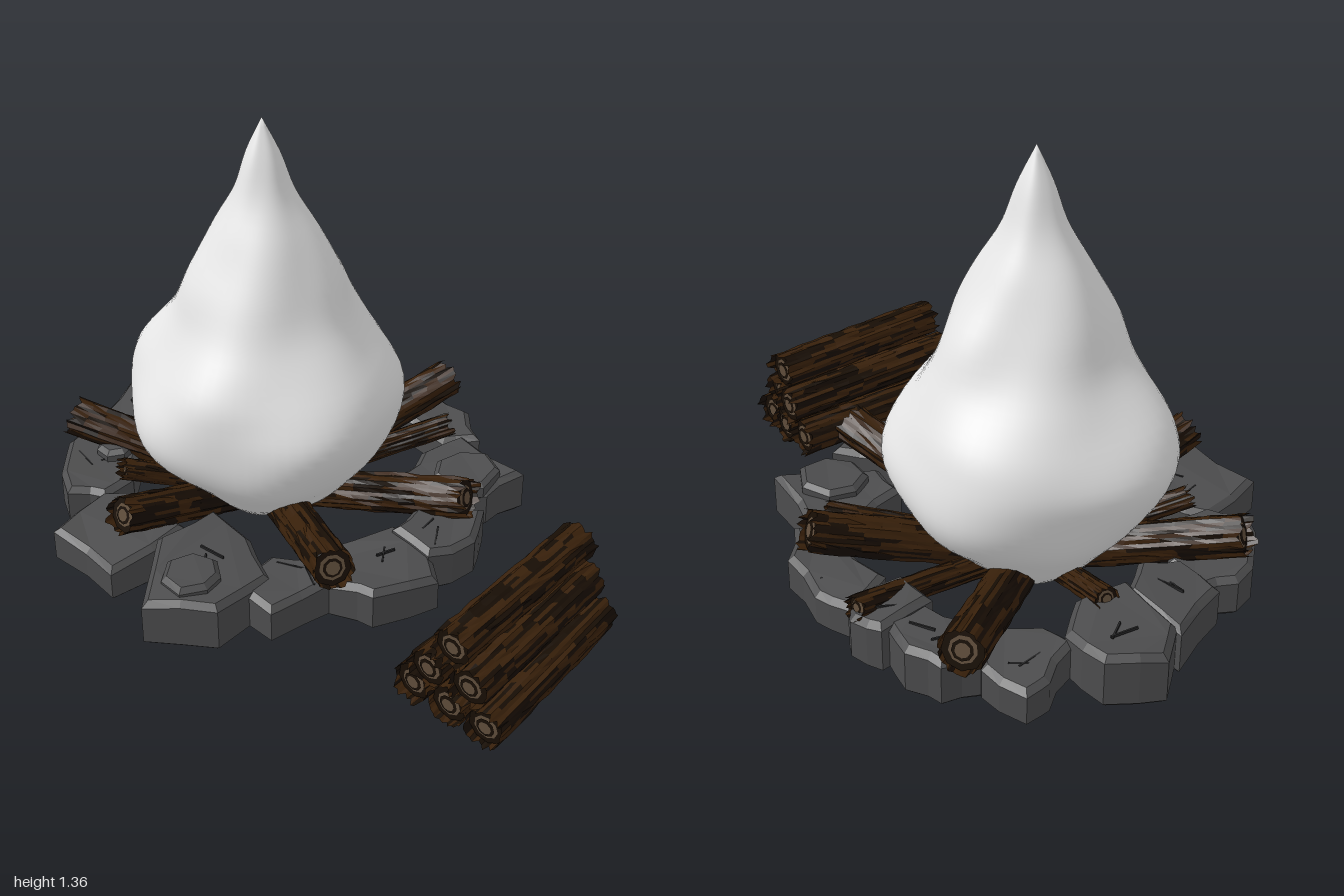
import * as THREE from 'three';
import { mergeVertices } from 'three/addons/utils/BufferGeometryUtils.js';

const mat = (name, color, extra = {}) => {
  const m = new THREE.MeshStandardMaterial({ color, ...extra });
  m.name = name;
  return m;
};

export function createModel() {
  let seed = 7;
  const rnd = () => (seed = (seed * 16807) % 2147483647) / 2147483647;
  const jit = (a) => (rnd() - 0.5) * 2 * a;

  const flameMat = mat('pale flame', 0xe7e7e7);
  const stoneMat = mat('grey stone', 0x4c4c4d, { flatShading: true });
  const crackMat = mat('dark crack', 0x262627);
  const bark = mat('brown bark', 0x38200a, { flatShading: true, side: THREE.DoubleSide });
  const groove = mat('dark groove', 0x170d04, { flatShading: true, side: THREE.DoubleSide });
  const endWood = mat('cut wood', 0x5e4c3a);

  const model = new THREE.Group();
  const add = (parent, geo, material, name) => {
    const m = new THREE.Mesh(geo, material);
    m.name = name;
    parent.add(m);
    return m;
  };

  // Flame: smooth teardrop with gentle waves and rounded lumps (angle, height, size)
  const profile = [[0, 0.005], [0.1, 0.02], [0.2, 0.1], [0.29, 0.2], [0.365, 0.29], [0.405, 0.38], [0.41, 0.47],
    [0.38, 0.56], [0.325, 0.66], [0.268, 0.76], [0.22, 0.88], [0.158, 1.01], [0.092, 1.13], [0.05, 1.25], [0, 1.36]];
  const lumps = [[1.95, 0.6, 0.06], [-1.3, 0.6, 0.06], [0.5, 0.56, 0.05], [-0.5, 0.46, 0.03], [-2.5, 0.62, 0.06],
    [3.0, 0.5, 0.04], [1.3, 0.42, 0.04], [1.6, 0.82, 0.05], [-1.7, 0.84, 0.05]];
  const curve = new THREE.CatmullRomCurve3(profile.map(([r, y]) => new THREE.Vector3(r, y, 0)));
  const pts = curve.getPoints(56).map((p) => new THREE.Vector2(Math.max(p.x, 0), p.y));
  pts[0].x = pts[56].x = 0;
  let flame = new THREE.LatheGeometry(pts, 64);
  flame.deleteAttribute('uv');
  flame.deleteAttribute('normal');
  const fp = flame.attributes.position;
  for (let i = 0; i < fp.count; i++) {
    const y = fp.getY(i), a = Math.atan2(fp.getX(i), fp.getZ(i));
    let k = 1 + 0.02 * Math.sin(3 * a + 5 * y) + 0.025 * Math.sin(5 * a - 9 * y + 1) + 0.02 * Math.sin(2 * a + 14 * y);
    for (const [la, ly, s] of lumps) {
      k += s * Math.exp(-12 * (1 - Math.cos(a - la)) - ((y - ly) / 0.1) ** 2);
    }
    fp.setX(i, fp.getX(i) * k);
    fp.setZ(i, fp.getZ(i) * k);
  }
  flame = mergeVertices(flame, 1e-4);
  flame.computeVertexNormals();
  add(model, flame, flameMat, 'flame').position.set(0.025, 0, -0.27);

  // Stones: bevelled slabs from top outlines (x, z), with slightly uneven tops
  const wave = (x, z) => 0.014 * Math.sin(9 * x + 7 * z);
  const slab = (outline, y0, y1, bevel) => {
    const shape = new THREE.Shape(outline.map(([x, z]) => new THREE.Vector2(x, -z)));
    const geo = new THREE.ExtrudeGeometry(shape, {
      depth: y1 - y0 - 2 * bevel, bevelThickness: bevel, bevelSize: bevel, bevelOffset: -bevel, bevelSegments: 1,
    });
    geo.rotateX(-Math.PI / 2).translate(0, y0 + bevel, 0);
    const p = geo.attributes.position;
    const top = (y0 + y1) / 2;
    for (let i = 0; i < p.count; i++) {
      if (p.getY(i) > top) p.setY(i, p.getY(i) + wave(p.getX(i), p.getZ(i)));
    }
    geo.computeVertexNormals();
    return geo;
  };
  // Break each outline edge with a slightly displaced middle point
  const roughen = (o) => o.flatMap(([x, z], i) => {
    const [u, v] = o[(i + 1) % o.length];
    return [[x, z], [(x + u) / 2 + jit(0.014), (z + v) / 2 + jit(0.014)]];
  });
  const ring = new THREE.Group();
  ring.name = 'stoneRing';
  model.add(ring);
  const outlines = [
    [[-0.01, -0.9], [0.1, -1], [0.25, -0.92], [0.26, -0.76], [0.15, -0.66], [-0.01, -0.68]],
    [[0.24, -0.78], [0.38, -0.86], [0.46, -0.87], [0.5, -0.72], [0.42, -0.57], [0.26, -0.67]],
    [[0.47, -0.72], [0.6, -0.68], [0.65, -0.58], [0.63, -0.45], [0.5, -0.44], [0.43, -0.56]],
    [[0.48, -0.45], [0.66, -0.48], [0.7, -0.38], [0.64, -0.29], [0.49, -0.31]],
    [[0.51, -0.25], [0.66, -0.32], [0.71, -0.2], [0.7, -0.02], [0.61, 0.11], [0.52, 0.03]],
    [[0.26, 0.08], [0.42, 0.03], [0.58, 0.06], [0.55, 0.35], [0.4, 0.33], [0.25, 0.23]],
    [[0.04, 0.27], [0.2, 0.23], [0.33, 0.38], [0.2, 0.46], [0.04, 0.42]],
    [[-0.25, 0.3], [-0.19, 0.14], [0.08, 0.24], [0.07, 0.4], [0, 0.5], [-0.2, 0.43]],
    [[-0.44, 0.1], [-0.28, 0.08], [-0.18, 0.2], [-0.24, 0.3], [-0.45, 0.27]],
    [[-0.72, 0.02], [-0.5, -0.18], [-0.29, -0.17], [-0.29, 0], [-0.36, 0.17], [-0.58, 0.19]],
    [[-0.68, -0.46], [-0.45, -0.52], [-0.36, -0.41], [-0.39, -0.18], [-0.67, -0.19]],
    [[-0.54, -0.58], [-0.43, -0.74], [-0.3, -0.82], [-0.2, -0.79], [-0.18, -0.65], [-0.35, -0.49], [-0.46, -0.49]],
    [[-0.22, -0.83], [0, -0.93], [0.02, -0.72], [-0.09, -0.63], [-0.21, -0.67]],
  ];
  outlines.forEach((o, i) => {
    const top = [0.19, 0.165, 0.175][i % 3];
    add(ring, slab(roughen(o), 0.03, top, 0.018), stoneMat, 'stone' + (i + 1));
    // Thin cracks across the top
    const cx = o.reduce((s, q) => s + q[0], 0) / o.length, cz = o.reduce((s, q) => s + q[1], 0) / o.length;
    for (let c = 0; c < 2; c++) {
      const x = cx + jit(0.05), z = cz + jit(0.05);
      const crack = add(ring, new THREE.BoxGeometry(0.05 + rnd() * 0.05, 0.008, 0.005), crackMat, 'crack');
      crack.position.set(x, top + wave(x, z), z);
      crack.rotation.y = jit(1.5);
    }
  });
  // Small raised knobs on the broad stones
  for (const [x, z, r] of [[-0.54, 0.04, 0.09], [0.41, 0.22, 0.1], [-0.3, -0.64, 0.06]]) {
    const o = Array.from({ length: 7 }, (_, i) => {
      const a = (i / 7) * Math.PI * 2, q = r * (1 + jit(0.15));
      return [x + q * Math.cos(a), z + q * Math.sin(a)];
    });
    add(ring, slab(o, 0.14, 0.212, 0.015), stoneMat, 'stoneKnob');
  }

  // Log: ridged bark tube with ragged ends, dark lengthwise grooves and cut faces
  const N = 32, M = 12;
  const makeLog = (parent, a, b, r, name) => {
    const A = new THREE.Vector3(...a), dir = new THREE.Vector3(...b).sub(A), len = dir.length();
    const log = new THREE.Group();
    log.name = name;
    const geo = new THREE.CylinderGeometry(r, r, len, N, M, true);
    const p = geo.attributes.position;
    const ridge = Array.from({ length: N }, () => 1 + jit(0.07));
    for (let j = 0; j <= M; j++) {
      for (let i = 0; i < N; i++) {
        const k = ridge[i] + jit(0.05), dy = j === 0 || j === M ? jit(0.015) : jit(0.008);
        for (const v of i === 0 ? [j * (N + 1), j * (N + 1) + N] : [j * (N + 1) + i]) {
          p.setXYZ(v, p.getX(v) * k, p.getY(v) + dy, p.getZ(v) * k);
        }
      }
    }
    const light = [], dark = [], idx = geo.index.array;
    for (let i = 0; i < N; i++) {
      let on = rnd() < 0.4;
      for (let j = 0; j < M; j++) {
        if (rnd() < 0.45) on = rnd() < 0.42;
        const s = (i * M + j) * 6;
        (on ? dark : light).push(...idx.slice(s, s + 6));
      }
    }
    geo.setIndex([...light, ...dark]);
    geo.clearGroups();
    geo.addGroup(0, light.length, 0);
    geo.addGroup(light.length, dark.length, 1);
    geo.computeVertexNormals();
    add(log, geo, [bark, groove], 'bark');
    for (const s of [1, -1]) {
      [[0.97, 0.018, groove], [0.66, 0.015, endWood], [0.5, 0.012, groove], [0.36, 0.009, endWood]].forEach(([k, d, m]) => {
        const cap = add(log, new THREE.CircleGeometry(r * k, 9), m, 'logEnd');
        cap.rotation.x = -s * Math.PI / 2;
        cap.position.y = s * (len / 2 - d);
      });
    }
    log.position.copy(A).addScaledVector(dir, 0.5);
    log.quaternion.setFromUnitVectors(new THREE.Vector3(0, 1, 0), dir.normalize());
    parent.add(log);
  };

  // Logs leaning outward from the middle of the fire: outer end x, y, z and radius
  const fireLogs = new THREE.Group();
  fireLogs.name = 'fireLogs';
  model.add(fireLogs);
  [[0.585, 0.265, -0.755, 0.062], [0.685, 0.2, -0.375, 0.036], [0.67, 0.28, -0.085, 0.06], [0.54, 0.215, 0.04, 0.036],
    [0.26, 0.25, 0.38, 0.06], [-0.28, 0.265, 0.35, 0.06], [-0.575, 0.27, -0.255, 0.056], [-0.39, 0.22, -0.49, 0.034],
    [-0.36, 0.265, -0.775, 0.06], [0.1, 0.21, -0.74, 0.036]].forEach(([x, y, z, r], i) => {
    const dx = x - 0.025, dz = z + 0.27, l = Math.hypot(dx, dz);
    makeLog(fireLogs, [0.025 + (0.07 * dx) / l, 0.085, -0.27 + (0.07 * dz) / l], [x, y, z], r, 'fireLog' + (i + 1));
  });

  // Stacked firewood in front: rows of three, two and one
  const pile = new THREE.Group();
  pile.name = 'firewoodPile';
  model.add(pile);
  for (let row = 0; row < 3; row++) {
    for (let i = 0; i < 3 - row; i++) {
      const s = i + row / 2, y = 0.07 + row * 0.103;
      makeLog(pile, [-0.3 + jit(0.015), y, 0.68 + s * 0.128], [0.315 + jit(0.015), y, 0.65 + s * 0.1], 0.059, 'firewood');
    }
  }
  return model;
}
